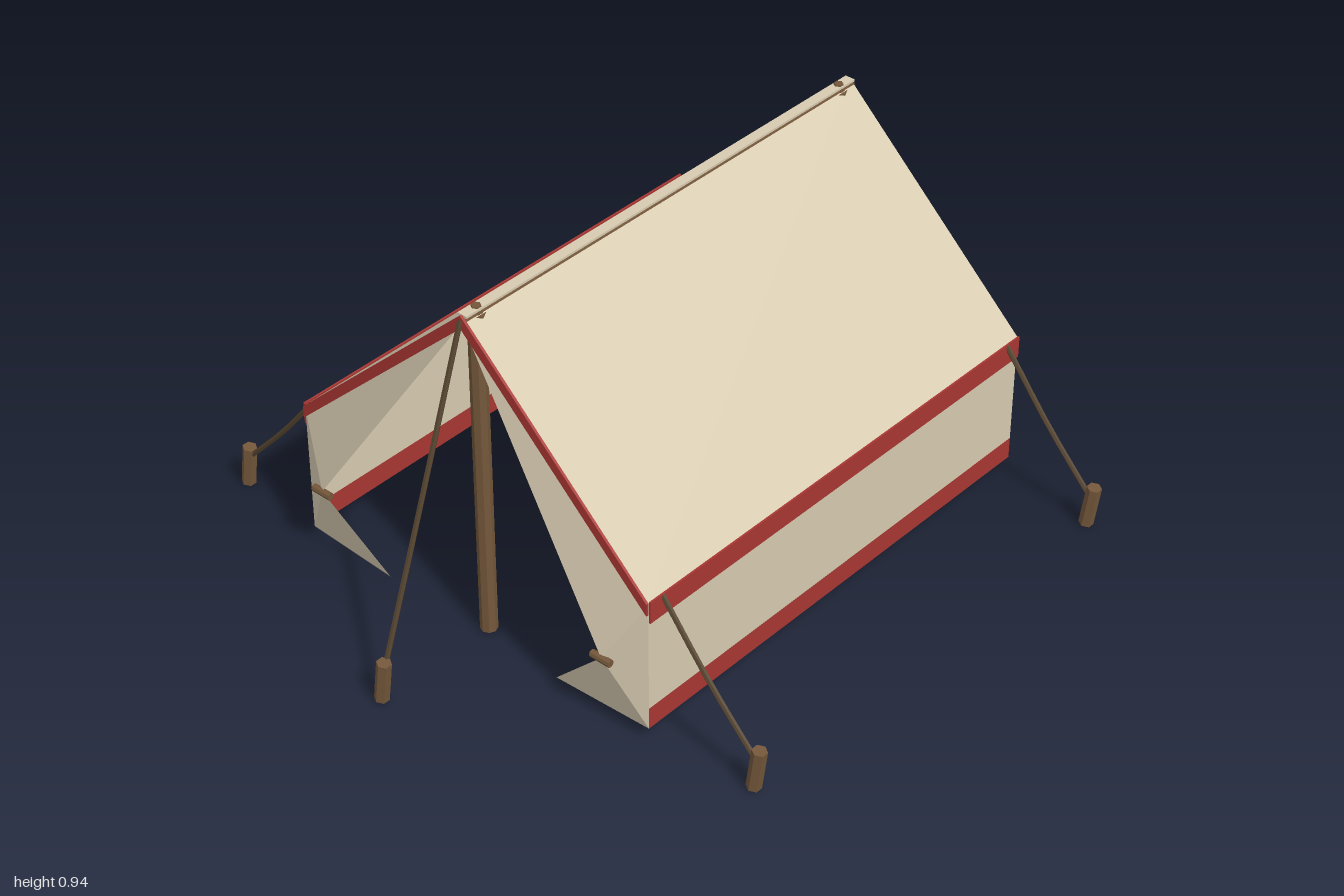
import * as THREE from 'three';

const CX = -0.01, HALF = 0.553, LEN = 0.68;   // tent centre line, half width, half length
const FLOOR = 0.04, EAVE = 0.412, RIDGE = 0.932;

export function createModel() {
  const model = new THREE.Group();
  const material = (name, color, side = THREE.FrontSide) => {
    const m = new THREE.MeshStandardMaterial({ color, side, flatShading: true });
    m.name = name;
    return m;
  };
  const canvas = material('canvas', 0xd6cab0, THREE.DoubleSide);
  const red = material('redTrim', 0xa83632, THREE.DoubleSide);
  const wood = material('wood', 0x74573a);
  const rope = material('rope', 0x55442f);

  const tent = new THREE.Group();
  tent.name = 'tent';
  tent.position.x = CX;
  model.add(tent);

  const add = (name, geometry, mat, x = 0, y = 0, z = 0) => {
    const mesh = new THREE.Mesh(geometry, mat);
    mesh.name = name;
    mesh.position.set(x, y, z);
    tent.add(mesh);
    return mesh;
  };

  // Flat cloth panel made as a fan around its first corner
  const panel = (name, corners, mat) => {
    const points = [];
    for (let i = 1; i < corners.length - 1; i++) points.push(...corners[0], ...corners[i], ...corners[i + 1]);
    const g = new THREE.BufferGeometry();
    g.setAttribute('position', new THREE.Float32BufferAttribute(points, 3));
    g.computeVertexNormals();
    return add(name, g, mat);
  };

  // Sagging guy rope through three points
  const guyRope = (name, points) => {
    const curve = new THREE.CatmullRomCurve3(points.map(p => new THREE.Vector3(...p)));
    add(name, new THREE.TubeGeometry(curve, 6, 0.007, 6), rope);
  };
  const stake = (name, x, z) => {
    add(name, new THREE.CylinderGeometry(0.019, 0.019, 0.118, 6), wood, x, 0.061, z).rotation.z = -0.13;
  };

  for (const s of [1, -1]) {
    const side = s > 0 ? 'left' : 'right';
    const X = s * HALF;

    // Roof slope and side wall; corners run outward-facing on either side
    const strip = (name, xa, ya, xb, yb, mat) => {
      const c = [[xa, ya, LEN], [xa, ya, -LEN], [xb, yb, -LEN], [xb, yb, LEN]];
      panel(name, s > 0 ? c : c.reverse(), mat);
    };
    strip(side + 'Roof', X, EAVE, 0, RIDGE, canvas);
    strip(side + 'Wall', X, 0.1, X, EAVE, canvas);
    strip(side + 'WallHem', X, FLOOR, X, 0.1, red);

    // Valance hanging from the eave
    add(side + 'Valance', new THREE.BoxGeometry(0.005, 0.06, 2 * LEN), red, X + s * 0.0035, 0.386, 0);

    // Door flap folded open around its tie
    const flap = [
      [s * 0.455, 0.23, 0.732], [0, RIDGE - 0.02, LEN], [X, EAVE - 0.01, LEN],
      [X, FLOOR, LEN], [s * 0.275, FLOOR, 0.692],
    ];
    panel(side + 'DoorFlap', s > 0 ? flap.reverse() && [flap[4], flap[0], flap[1], flap[2], flap[3]] : flap, canvas);
    add(side + 'FlapTie', new THREE.CylinderGeometry(0.01, 0.01, 0.058, 8), wood, s * 0.455, 0.228, 0.731)
      .rotation.z = Math.PI / 2;

    // Side ropes and stakes
    for (const z of [0.635, -0.635]) {
      guyRope(side + 'Rope', [[X, EAVE, z], [s * 0.695, 0.235, z], [s * 0.825, 0.095, z]]);
      stake(side + 'Stake', s * 0.837, z);
    }
  }

  // Closed rear wall
  panel('rearWall', [[0, RIDGE, -LEN], [HALF, EAVE, -LEN], [HALF, FLOOR, -LEN],
    [-HALF, FLOOR, -LEN], [-HALF, EAVE, -LEN]], canvas);

  // Red trim along the front roof edge
  const trim = new THREE.Shape([[-HALF, EAVE], [0, RIDGE + 0.004], [HALF, EAVE],
    [HALF, EAVE - 0.034], [0, RIDGE - 0.032], [-HALF, EAVE - 0.034]].map(p => new THREE.Vector2(...p)));
  add('frontTrim', new THREE.ExtrudeGeometry(trim, { depth: 0.007, bevelEnabled: false }), red, 0, 0, LEN);

  // Ridge pole under a narrow cloth cap
  add('ridgePole', new THREE.CylinderGeometry(0.014, 0.014, 2 * LEN, 8), wood, 0, 0.917, 0).rotation.x = Math.PI / 2;
  add('ridgeCap', new THREE.BoxGeometry(0.028, 0.006, 2 * LEN), canvas, 0, 0.932, 0);

  // Upright poles, end ropes and end stakes
  for (const s of [1, -1]) {
    const end = s > 0 ? 'front' : 'rear';
    add(end + 'Pole', new THREE.CylinderGeometry(0.022, 0.022, 0.918, 8), wood, 0, 0.459, s * 0.635);
    add(end + 'PoleTip', new THREE.CylinderGeometry(0.012, 0.018, 0.03, 6), wood, 0, 0.924, s * 0.635);
    guyRope(end + 'Rope', [[0, 0.925, s * 0.685], [0, 0.5, s * 0.832], [0, 0.095, s * 0.975]]);
    stake(end + 'Stake', 0, s * 0.984);
  }

  return model;
}
